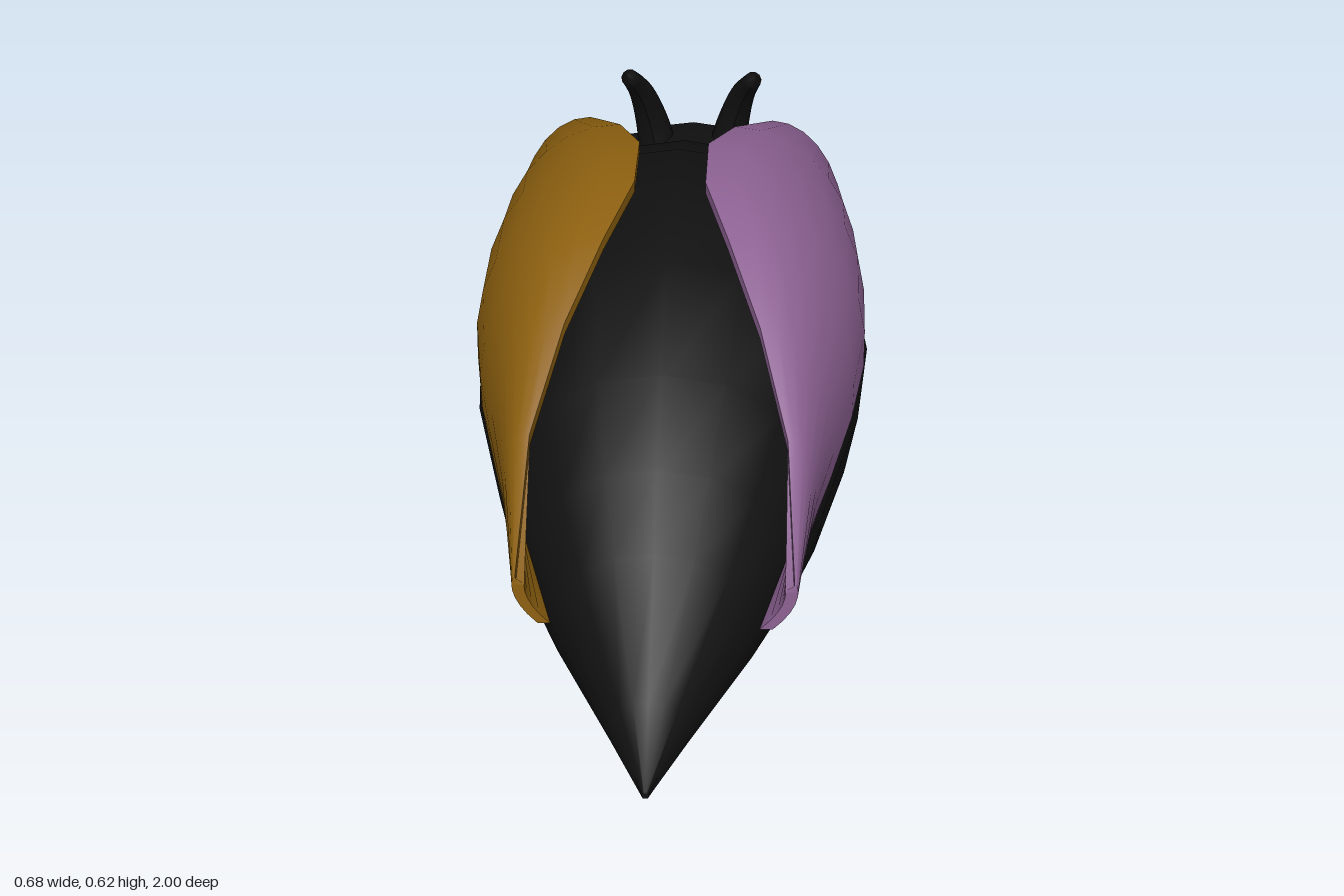
import * as THREE from 'three';
import { toCreasedNormals } from 'three/addons/utils/BufferGeometryUtils.js';

// Skins closed rings (counter-clockwise seen from +z, running towards -z) and caps both ends.
function loft(rings, flip, crease) {
  const n = rings[0].length, pos = [], idx = [];
  const tri = (a, b, c) => (flip ? idx.push(a, c, b) : idx.push(a, b, c));
  rings.forEach(r => r.forEach(p => pos.push(...p)));
  for (let i = 0; i < rings.length - 1; i++) {
    for (let j = 0; j < n; j++) {
      const a = i * n + j, b = i * n + (j + 1) % n;
      tri(a, a + n, b);
      tri(b, a + n, b + n);
    }
  }
  const last = (rings.length - 1) * n;
  for (let j = 0; j < n / 2 - 1; j++) {
    const k = n - 1 - j;
    tri(j, j + 1, k - 1); tri(j, k - 1, k);
    tri(last + j, last + k - 1, last + j + 1); tri(last + j, last + k, last + k - 1);
  }
  const g = new THREE.BufferGeometry();
  g.setAttribute('position', new THREE.Float32BufferAttribute(pos, 3));
  g.setIndex(idx);
  return toCreasedNormals(g, crease);
}

// Domed body with a flat sole; stations are [z, half width, height].
function bodyGeometry() {
  const side = [[0.5, 0.004], [0.755, 0.01], [0.94, 0.2], [1, 0.42],
    [0.92, 0.64], [0.7, 0.83], [0.38, 0.963]];
  const outline = [[0, 0], ...side, [0, 1], ...side.map(([x, y]) => [-x, y]).reverse()];
  const stations = [
    [1, 0.005, 0.012], [0.9, 0.062, 0.1], [0.73, 0.162, 0.245], [0.63, 0.213, 0.33],
    [0.5, 0.265, 0.42], [0.3, 0.32, 0.51], [0.1, 0.34, 0.54], [-0.1, 0.32, 0.51],
    [-0.33, 0.25, 0.41], [-0.47, 0.192, 0.325], [-0.6, 0.138, 0.25], [-0.67, 0.127, 0.22],
    [-0.73, 0.142, 0.222], [-0.8, 0.146, 0.212], [-0.85, 0.138, 0.185],
    [-0.89, 0.112, 0.145], [-0.925, 0.075, 0.095],
  ];
  return loft(stations.map(([z, w, h]) => outline.map(([x, y]) => [x * w, y * h, z])), false, 1.0);
}

// Curved wing case; stations are [z, top x, top y, outer x, bottom y, inward tuck of the lower edge].
function wingGeometry(s) {
  const stations = [
    [0.73, 0.215, 0.195, 0.228, 0.105, 0.045], [0.6, 0.2, 0.37, 0.262, 0.17, 0.03],
    [0.48, 0.153, 0.5, 0.292, 0.215, 0.02], [0.35, 0.1, 0.58, 0.322, 0.25, 0.014],
    [0.22, 0.058, 0.615, 0.342, 0.268, 0.012], [0.08, 0.058, 0.615, 0.344, 0.268, 0.012],
    [-0.05, 0.1, 0.582, 0.335, 0.258, 0.012], [-0.2, 0.165, 0.52, 0.315, 0.235, 0.015],
    [-0.32, 0.222, 0.42, 0.294, 0.2, 0.025], [-0.435, 0.262, 0.26, 0.276, 0.155, 0.045],
  ];
  const steps = 8, thick = 0.02;
  const rings = stations.map(([z, tx, ty, ox, by, tuck]) => {
    const outer = [], inner = [];
    for (let i = 0; i <= steps; i++) {
      const a = i / steps * Math.PI / 2, c = Math.cos(a), n = Math.sin(a);
      const x = tx + (ox - tx) * c - tuck * (1 - n) ** 2, y = by + (ty - by) * n;
      // inward normal of the elliptical section
      const d = new THREE.Vector2((ty - by) * c, (ox - tx) * n).normalize().multiplyScalar(thick);
      outer.push([s * x, y, z]);
      inner.unshift([s * (x - d.x), y - d.y, z]);
    }
    return [...outer, ...inner];
  });
  return loft(rings, s < 0, 0.9);
}

// Tube along a curve with its radius set by a rule.
function taperedTube(points, radiusAt) {
  const curve = new THREE.CatmullRomCurve3(points.map(p => new THREE.Vector3(...p)));
  const segs = 16, sides = 10;
  const g = new THREE.TubeGeometry(curve, segs, 1, sides);
  const pos = g.attributes.position, v = new THREE.Vector3();
  for (let i = 0; i < pos.count; i++) {
    const t = Math.floor(i / (sides + 1)) / segs;
    const c = curve.getPointAt(t);
    v.fromBufferAttribute(pos, i).sub(c).multiplyScalar(radiusAt(t)).add(c);
    pos.setXYZ(i, v.x, v.y, v.z);
  }
  g.computeVertexNormals();
  return g;
}

export function createModel() {
  const mat = (name, color) => {
    const m = new THREE.MeshStandardMaterial({ color });
    m.name = name;
    return m;
  };
  const black = mat('black', 0x101010);
  const purple = mat('purple', 0x8e6394);
  const gold = mat('gold', 0x8e6110);

  const model = new THREE.Group();
  model.name = 'beetle';
  const add = (name, geometry, material) => {
    const mesh = new THREE.Mesh(geometry, material);
    mesh.name = name;
    model.add(mesh);
  };

  add('body', bodyGeometry(), black);
  for (const s of [1, -1]) {
    const label = s > 0 ? 'left' : 'right';
    add(label + 'WingCase', wingGeometry(s), s > 0 ? purple : gold);
    // upright feelers on top of the head
    add(label + 'Horn', taperedTube(
      [[s * 0.07, 0.17, -0.74], [s * 0.085, 0.25, -0.735], [s * 0.105, 0.33, -0.705], [s * 0.13, 0.392, -0.65]],
      t => (t > 0.99 ? 0 : 0.042 - 0.027 * t)), black);
    // curved feelers at the snout
    add(label + 'Feeler', taperedTube(
      [[s * 0.06, 0.085, -0.87], [s * 0.1, 0.085, -0.925], [s * 0.15, 0.07, -0.967], [s * 0.23, 0.035, -0.993]],
      t => (t > 0.99 ? 0 : 0.04 - 0.028 * t)), black);
  }
  return model;
}
